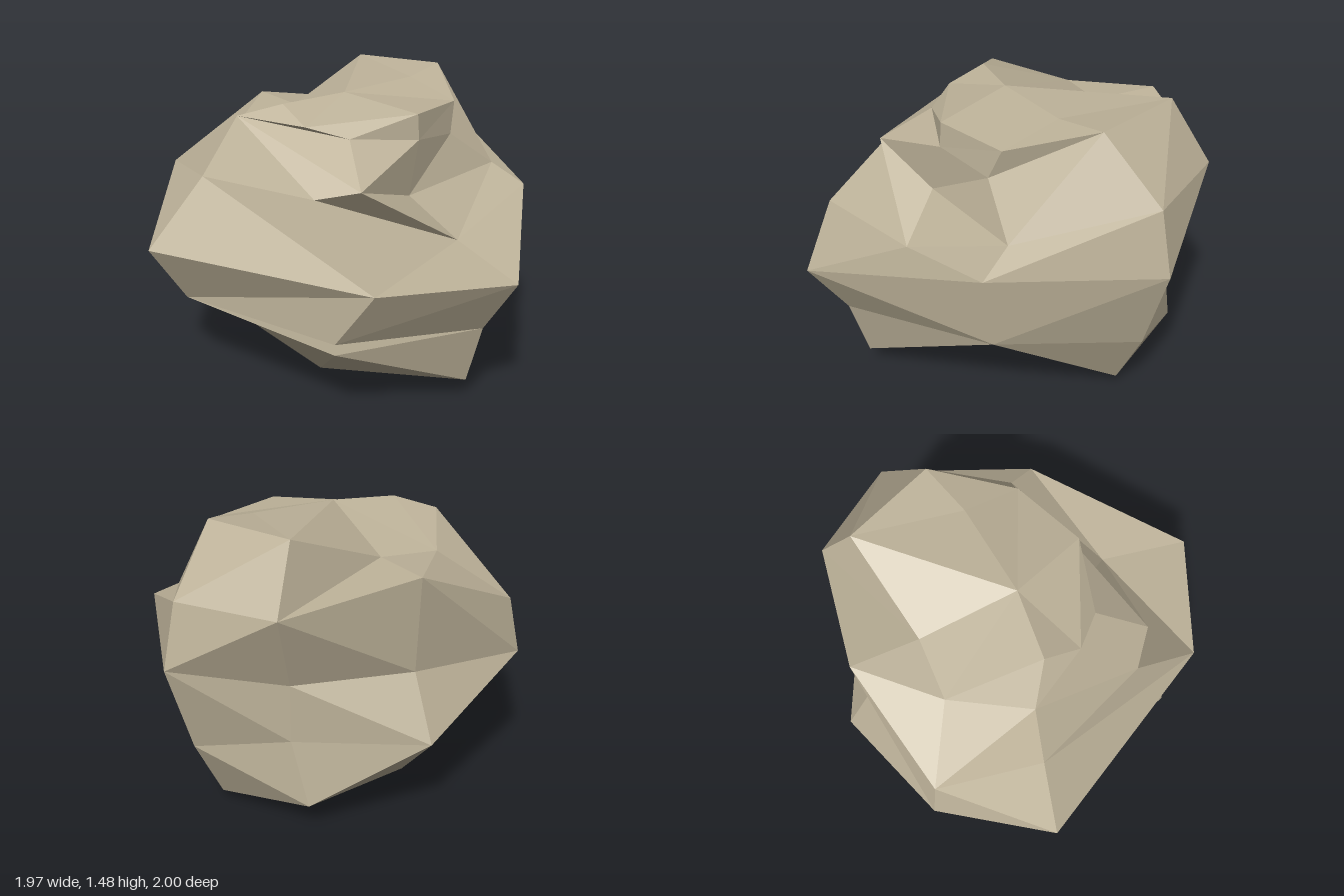
import * as THREE from 'three';

// Eight upright profiles around the boulder, each at its own bearing in degrees (from +x towards +z).
// A profile point is [radius, height, optional sideways turn in degrees], from underside to crown.
// folds: crease across each panel to the next profile, r rising or f falling, from underside to crown.
const profiles = [
  { bearing: 180, folds: 'rrffrrr', points: [[0.30, 0.19], [0.44, 0.23], [0.52, 0.29, 17], [0.99, 0.71], [0.93, 1.00], [0.56, 1.25, 9]] },
  { bearing: 144, folds: 'ffrffrr', points: [[0.24, 0], [0.56, 0.22], [0.89, 0.42], [1.075, 0.71], [0.775, 1.06], [0.58, 1.35], [0.58, 1.35], [0.385, 1.41, -15]] },
  // front, folding over beside the notch
  { bearing: 82, folds: 'rrrrfrr', points: [[0.40, 0, 14], [0.94, 0.37], [0.93, 0.42], [1.05, 0.71, -10], [0.73, 1.06, 8], [0.74, 1.10, -9], [0.456, 1.28, -7], [0.45, 1.33, 21]] },
  // middle of the notch
  { bearing: 38, folds: 'rrfffff', points: [[0.24, 0], [0.93, 0.10], [1.02, 0.42], [1.21, 0.71], [0.74, 0.76, -10], [0.51, 0.97], [0.50, 1.24, -9], [0.49, 1.37, -9]] },
  { bearing: 346, folds: 'rfrrrrr', points: [[0.29, 0.19, 10], [0.53, 0.36, 12], [0.95, 0.51], [1.00, 0.90, 2], [0.84, 1.00, -4], [0.58, 1.20, 7], [0.604, 1.36]] },
  // back
  { bearing: 300, folds: 'rffrrrr', points: [[0.30, 0.16], [0.82, 0.05], [0.98, 0.38], [1.12, 0.84], [1.04, 1.17], [0.75, 1.48, 8], [0.75, 1.48, 8], [0.47, 1.445, 15]] },
  { bearing: 269, folds: 'rrffrrr', points: [[0.30, 0.15], [0.865, 0.14, -6], [0.84, 0.48], [0.84, 0.78], [1.00, 1.17], [0.79, 1.48]] },
  { bearing: 225, folds: 'rrrfrrr', points: [[0.42, 0.14], [0.69, 0.20], [0.94, 0.465], [0.78, 0.79], [0.81, 1.28], [0.45, 1.27]] },
];
const topRow = 7;
const underside = new THREE.Vector3(0, 0.14, -0.02);
const summit = new THREE.Vector3(0.03, 1.43, 0.06);

// Corner of the skin; a short profile stays at its last point.
function corner(column, row) {
  const { bearing, points } = profiles[column % profiles.length];
  const [radius, height, turn = 0] = points[Math.min(row, points.length - 1)];
  const angle = THREE.MathUtils.degToRad(bearing + turn);
  return new THREE.Vector3(radius * Math.cos(angle), height, radius * Math.sin(angle));
}

// Faceted skin: folded panels between profiles, closed by two fans.
function boulderGeometry() {
  const vertices = [];
  const tri = (a, b, c) => {
    if (!a.equals(b) && !b.equals(c) && !c.equals(a)) vertices.push(a, b, c);
  };
  profiles.forEach(({ folds }, column) => {
    for (let row = 0; row < topRow; row++) {
      const a = corner(column, row);
      const b = corner(column + 1, row);
      const c = corner(column + 1, row + 1);
      const d = corner(column, row + 1);
      if (folds[row] === 'r') {
        tri(a, b, c);
        tri(a, c, d);
      } else {
        tri(a, b, d);
        tri(b, c, d);
      }
    }
    tri(corner(column + 1, 0), corner(column, 0), underside);
    tri(corner(column, topRow), corner(column + 1, topRow), summit);
  });
  const geometry = new THREE.BufferGeometry().setFromPoints(vertices);
  geometry.computeVertexNormals();
  return geometry;
}

export function createModel() {
  const stone = new THREE.MeshStandardMaterial({ color: 0xbdb299 });
  stone.name = 'sandy stone';
  const boulder = new THREE.Mesh(boulderGeometry(), stone);
  boulder.name = 'boulder';
  const model = new THREE.Group();
  model.name = 'rock';
  model.add(boulder);
  return model;
}
